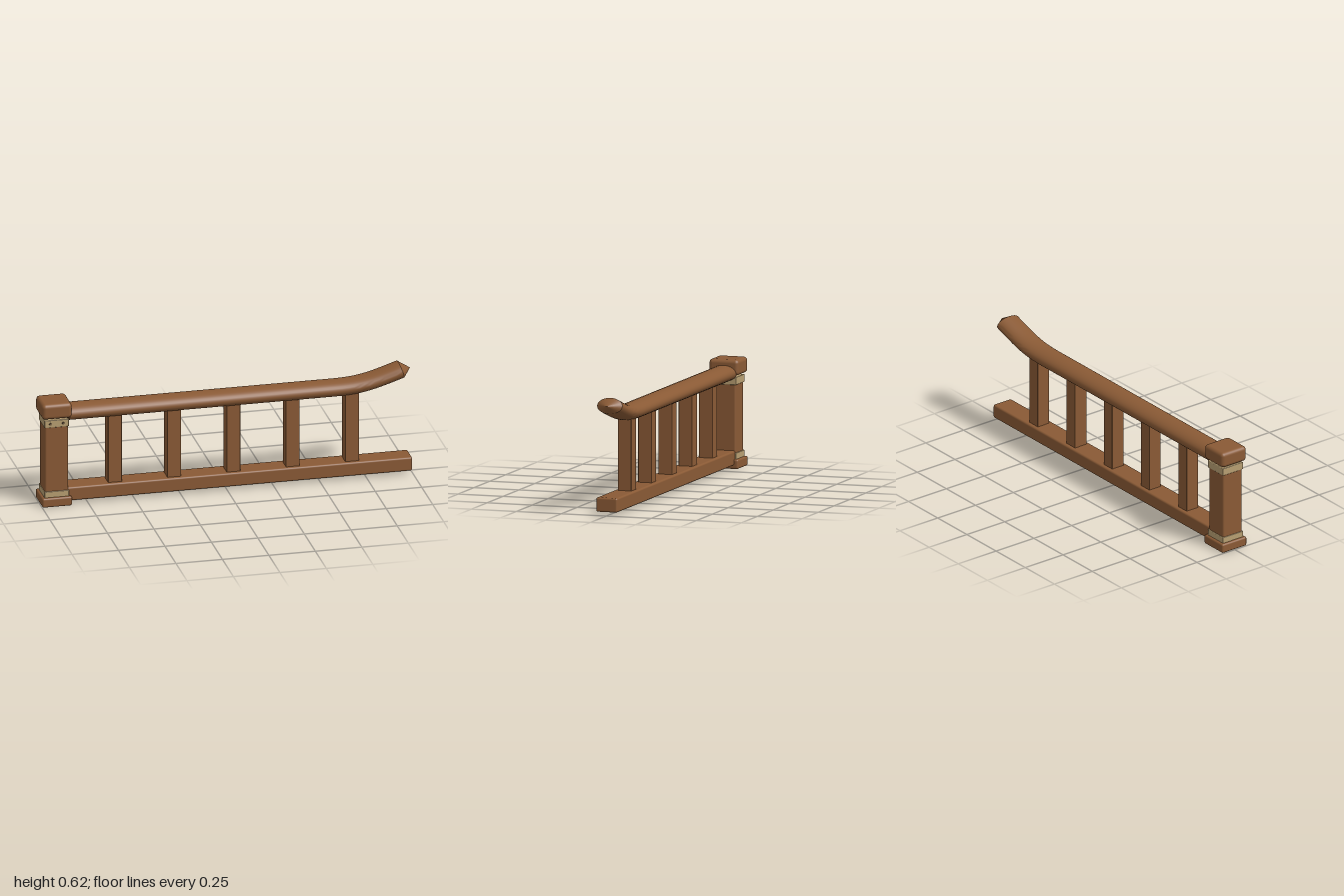
import * as THREE from 'three';
import { toCreasedNormals } from 'three/addons/utils/BufferGeometryUtils.js';
import { RoundedBoxGeometry } from 'three/addons/geometries/RoundedBoxGeometry.js';

const wood = new THREE.MeshStandardMaterial({ color: 0x8a5a35 });
wood.name = 'wood';
const binding = new THREE.MeshStandardMaterial({ color: 0xb89f72 });
binding.name = 'binding';
const rivetBrown = new THREE.MeshStandardMaterial({ color: 0x66513a });
rivetBrown.name = 'rivetBrown';

// Box given by its limits in x and y and its half depth in z
function block(name, x0, x1, y0, y1, halfZ, radius, material) {
  const geometry = new RoundedBoxGeometry(x1 - x0, y1 - y0, halfZ * 2, 3, radius);
  const mesh = new THREE.Mesh(geometry, material);
  mesh.name = name;
  mesh.position.set((x0 + x1) / 2, (y0 + y1) / 2, 0);
  return mesh;
}

// Oval section swept along the rail line, closed by a pointed cone at each end
function railGeometry() {
  const halfY = 0.043, halfZ = 0.07, sides = 32;
  const path = [[-0.85, 0.504], [0.54, 0.504]];
  const bend = new THREE.CubicBezierCurve(
    new THREE.Vector2(0.58, 0.504), new THREE.Vector2(0.74, 0.504),
    new THREE.Vector2(0.8, 0.528), new THREE.Vector2(0.945, 0.575));
  for (const p of bend.getPoints(12)) path.push([p.x, p.y]);

  const positions = [], index = [];
  path.forEach(([x, y], i) => {
    const a = path[Math.max(i - 1, 0)], b = path[Math.min(i + 1, path.length - 1)];
    const angle = Math.atan2(b[1] - a[1], b[0] - a[0]);
    for (let j = 0; j < sides; j++) {
      const t = (j / sides) * Math.PI * 2;
      const up = Math.cos(t) * halfY;
      positions.push(x - Math.sin(angle) * up, y + Math.cos(angle) * up, Math.sin(t) * halfZ);
    }
  });
  const startTip = positions.length / 3, endTip = startTip + 1;
  positions.push(-0.905, 0.504, 0, 0.996, 0.579, 0);

  const last = (path.length - 1) * sides;
  for (let j = 0; j < sides; j++) {
    const k = (j + 1) % sides;
    for (let r = 0; r < last; r += sides) {
      index.push(r + j, r + k, r + sides + j, r + k, r + sides + k, r + sides + j);
    }
    index.push(startTip, k, j, endTip, last + j, last + k);
  }
  const geometry = new THREE.BufferGeometry();
  geometry.setAttribute('position', new THREE.Float32BufferAttribute(positions, 3));
  geometry.setIndex(index);
  return toCreasedNormals(geometry, 0.6);
}

export function createModel() {
  const model = new THREE.Group();
  model.name = 'railing';

  // Newel post with foot, floating cap and two bindings
  const post = new THREE.Group();
  post.name = 'newelPost';
  post.add(
    block('postFoot', -1, -0.84, 0, 0.051, 0.081, 0.01, wood),
    block('postShaft', -0.983, -0.857, 0.03, 0.483, 0.063, 0.01, wood),
    block('postCap', -1, -0.84, 0.493, 0.577, 0.082, 0.02, wood),
    block('lowerBinding', -0.986, -0.854, 0.047, 0.084, 0.067, 0.004, binding),
    block('upperBinding', -0.986, -0.854, 0.443, 0.485, 0.067, 0.004, binding),
  );
  for (const x of [-0.955, -0.886]) {
    const rivet = new THREE.Mesh(new THREE.CylinderGeometry(0.006, 0.007, 0.008, 12), rivetBrown);
    rivet.name = 'rivet';
    rivet.rotation.x = Math.PI / 2;
    rivet.position.set(x, 0.464, 0.068);
    post.add(rivet);
  }
  model.add(post);

  // Bottom beam and handrail
  model.add(block('bottomBeam', -0.87, 0.996, 0.019, 0.095, 0.059, 0.01, wood));
  const rail = new THREE.Mesh(railGeometry(), wood);
  rail.name = 'handrail';
  model.add(rail);

  // Evenly spaced balusters
  for (let i = 0; i < 5; i++) {
    const x = -0.6 + i * 0.319;
    model.add(block('baluster', x - 0.037, x + 0.037, 0.08, 0.485, 0.038, 0.003, wood));
  }
  return model;
}
